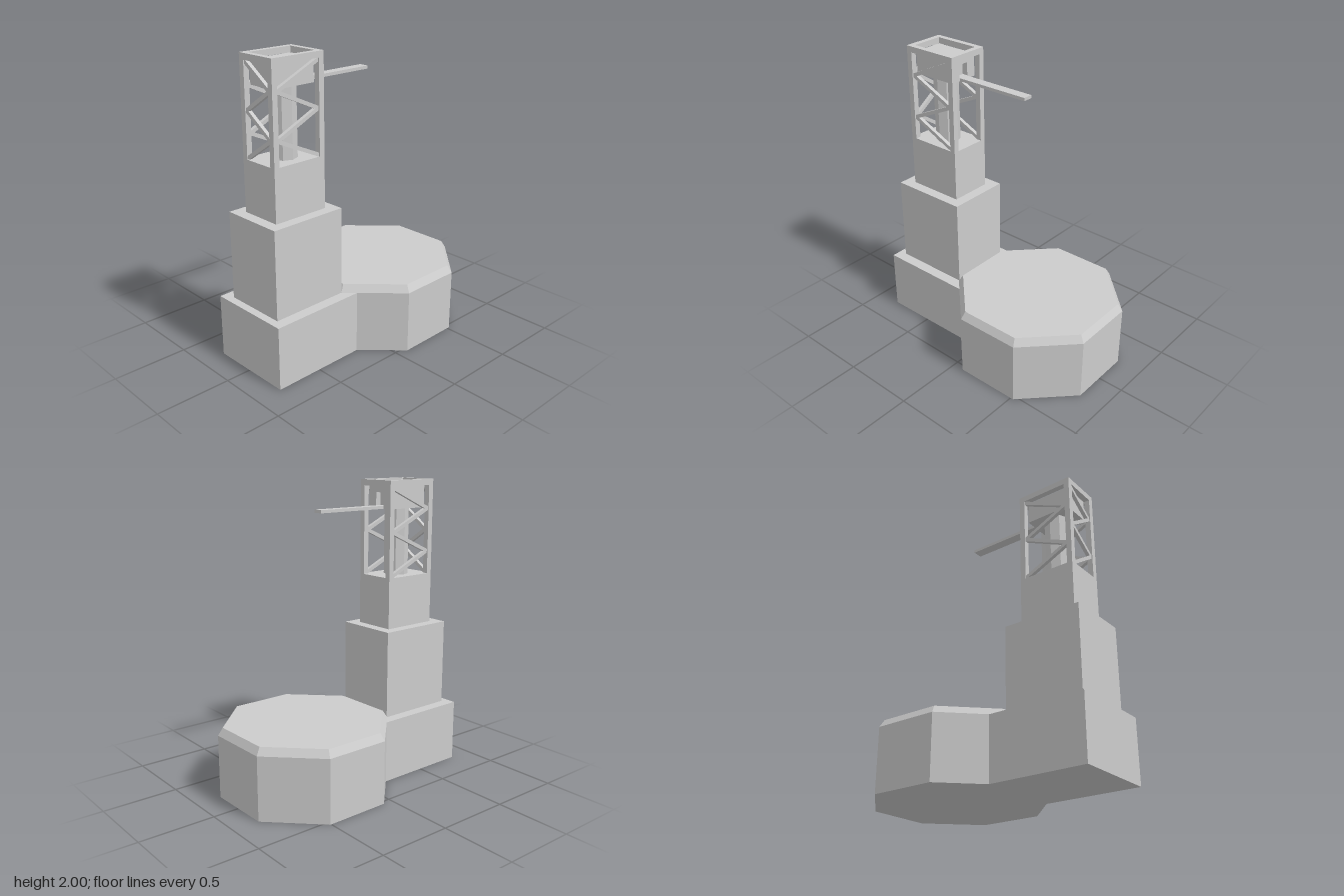
import * as THREE from 'three';

const material = new THREE.MeshStandardMaterial({ color: 0xcccccc, flatShading: true });

function add(parent, name, geometry, x = 0, y = 0, z = 0) {
  const mesh = new THREE.Mesh(geometry, material);
  mesh.name = name;
  mesh.position.set(x, y, z);
  parent.add(mesh);
  return mesh;
}

// Box given by its x range, y range and z range
function block(parent, name, x0, x1, y0, y1, z0, z1) {
  return add(parent, name, new THREE.BoxGeometry(x1 - x0, y1 - y0, z1 - z0),
    (x0 + x1) / 2, (y0 + y1) / 2, (z0 + z1) / 2);
}

// Zigzag of diagonal bars in the xy plane, starting at the lower +x corner
function zigzag(name, halfWidth, y0, y1, count) {
  const group = new THREE.Group();
  group.name = name;
  const step = (y1 - y0) / count;
  const length = Math.hypot(2 * halfWidth, step) + 0.01;
  for (let i = 0; i < count; i++) {
    const bar = add(group, 'diagonalBar', new THREE.BoxGeometry(length, 0.024, 0.025), 0, y0 + (i + 0.5) * step, 0);
    bar.rotation.z = Math.atan2(step, 2 * halfWidth) * (i % 2 ? 1 : -1);
  }
  return group;
}

function rectangle(Type, x0, x1, y0, y1) {
  return new Type([[x0, y0], [x1, y0], [x1, y1], [x0, y1]].map(p => new THREE.Vector2(...p)));
}

export function createModel() {
  const model = new THREE.Group();
  const body = new THREE.Group();
  body.name = 'building';
  body.position.x = 0.293;
  body.rotation.y = 0.0115;
  model.add(body);

  // Octagonal hall with bevelled roof edge
  const profile = [[0, 0], [0.575, 0], [0.575, 0.425], [0.543, 0.475], [0, 0.475]].map(p => new THREE.Vector2(...p));
  add(body, 'octagonalHall', new THREE.LatheGeometry(profile, 8, Math.PI / 8));

  // Stepped tower
  const tower = new THREE.Group();
  tower.name = 'tower';
  tower.position.x = -0.798;
  body.add(tower);
  block(tower, 'towerBase', -0.323, 0.42, 0, 0.425, -0.292, 0.292);
  block(tower, 'towerMiddle', -0.27, 0.27, 0.425, 1.015, -0.218, 0.218);
  const W = 0.197, D = 0.146, T = 0.038;
  block(tower, 'towerTop', -W, W, 1.015, 1.36, -D, D);

  // Open frame: corner posts and top ring
  for (const sx of [-1, 1]) for (const sz of [-1, 1]) {
    add(tower, 'cornerPost', new THREE.BoxGeometry(T, 0.6, T), sx * (W - T / 2), 1.66, sz * (D - T / 2));
  }
  const ring = rectangle(THREE.Shape, -W, W, -D, D);
  ring.holes.push(rectangle(THREE.Path, -W + T, W - T, -D + T, D - T));
  const ringGeometry = new THREE.ExtrudeGeometry(ring, { depth: 0.04, bevelEnabled: false }).rotateX(-Math.PI / 2);
  add(tower, 'topRing', ringGeometry, 0, 1.96, 0);

  // Lattice on the front, back and right sides; the left side stays open
  for (const s of [-1, 1]) {
    const lattice = zigzag(s > 0 ? 'frontLattice' : 'backLattice', W - T, 1.37, 1.95, 4);
    lattice.position.z = s * (D - T / 2);
    tower.add(lattice);
  }
  const side = zigzag('rightLattice', D - T, 1.37, 1.95, 4);
  side.rotation.y = Math.PI / 2;
  side.position.x = -(W - T / 2);
  tower.add(side);

  // Octagonal core column carrying the cabin
  add(tower, 'coreColumn', new THREE.CylinderGeometry(0.082, 0.082, 0.45, 8), 0, 1.585, 0);

  // Cabin with a doorway cut into its left wall
  block(tower, 'cabin', -0.155, 0.115, 1.81, 1.96, -0.104, 0.104);
  const wall = rectangle(THREE.Shape, -0.104, 0.104, 1.81, 1.96);
  wall.holes.push(rectangle(THREE.Path, -0.037, 0.037, 1.83, 1.917));
  const wallGeometry = new THREE.ExtrudeGeometry(wall, { depth: 0.04, bevelEnabled: false }).rotateY(Math.PI / 2);
  add(tower, 'doorWall', wallGeometry, 0.115, 0, 0);

  // Gangway reaching out from the doorway
  block(tower, 'gangway', 0.15, 0.682, 1.81, 1.83, -0.033, 0.033);

  return model;
}
